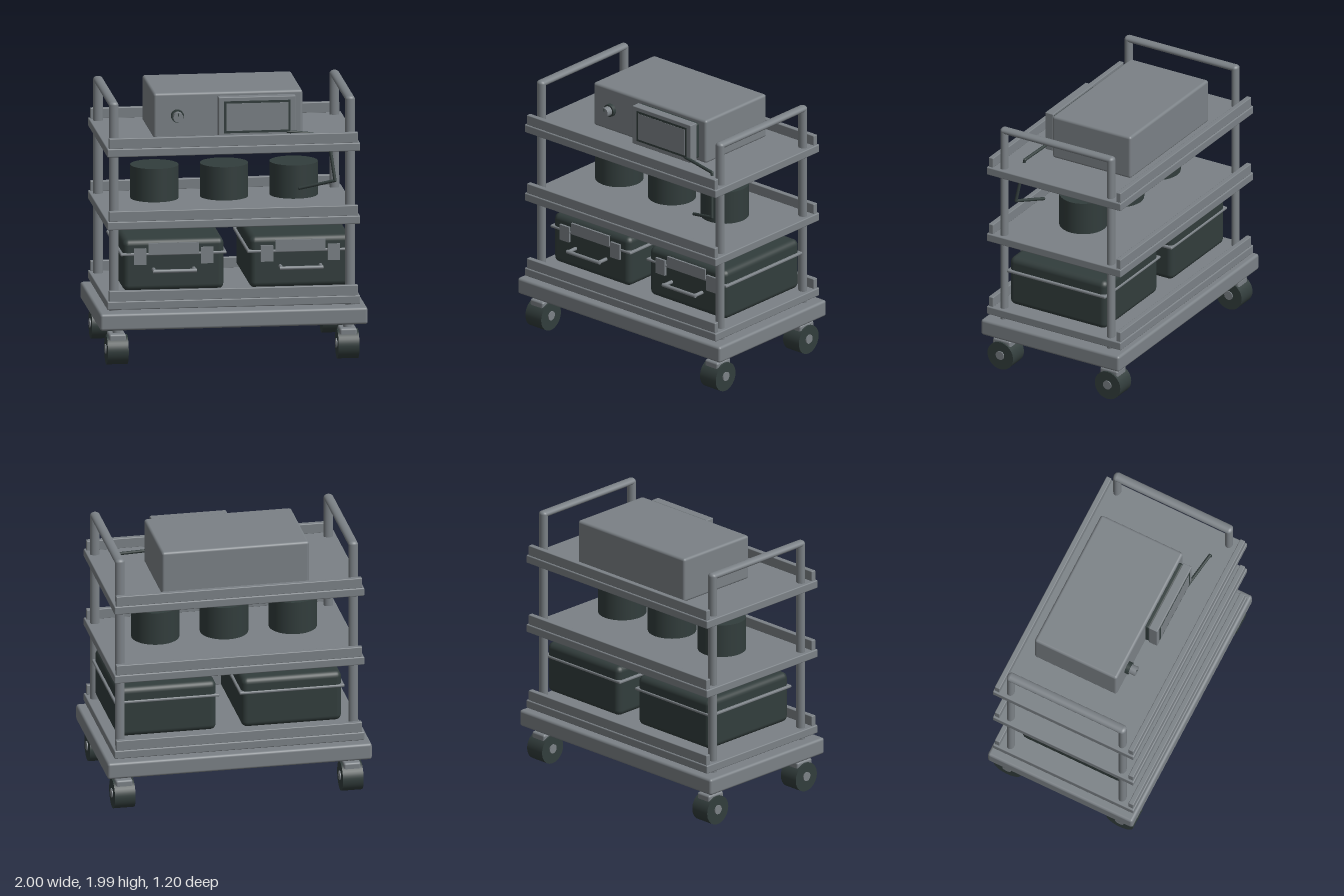
import * as THREE from 'three';
import { RoundedBoxGeometry } from 'three/addons/geometries/RoundedBoxGeometry.js';

const steel = new THREE.MeshStandardMaterial({ color: 0x7b8186 });
steel.name = 'grey steel';
const black = new THREE.MeshStandardMaterial({ color: 0x323d3c });
black.name = 'charcoal plastic';

export function createModel() {
  const cart = new THREE.Group();
  cart.name = 'equipmentCart';

  const add = (parent, name, geometry, material, x = 0, y = 0, z = 0) => {
    const mesh = new THREE.Mesh(geometry, material);
    mesh.name = name;
    mesh.position.set(x, y, z);
    parent.add(mesh);
    return mesh;
  };
  // Boxes are given by their limits: [x0, x1], [y0, y1], [z0, z1]
  const box = (parent, name, material, [x0, x1], [y0, y1], [z0, z1], r = 0) => {
    const s = [x1 - x0, y1 - y0, z1 - z0];
    const g = r ? new RoundedBoxGeometry(...s, 3, r) : new THREE.BoxGeometry(...s);
    return add(parent, name, g, material, (x0 + x1) / 2, (y0 + y1) / 2, (z0 + z1) / 2);
  };
  const cyl = (r, h, axis = 'y', sides = 32) => {
    const g = new THREE.CylinderGeometry(r, r, h, sides);
    if (axis === 'x') g.rotateZ(Math.PI / 2);
    if (axis === 'z') g.rotateX(Math.PI / 2);
    return g;
  };
  const group = (name, x = 0, y = 0, z = 0) => {
    const g = new THREE.Group();
    g.name = name;
    g.position.set(x, y, z);
    cart.add(g);
    return g;
  };

  // Base slab
  box(cart, 'base', steel, [-1, 1], [0.277, 0.405], [-0.6, 0.6], 0.02);

  // Three trays, each with a front and back rail
  for (const y of [0.432, 1.036, 1.588]) {
    const tray = group('tray', 0, y, 0);
    box(tray, 'shelf', steel, [-0.945, 0.945], [0, 0.063], [-0.583, 0.583], 0.008);
    for (const s of [-1, 1])
      box(tray, 'rail', steel, [-0.93, 0.93], [0.06, 0.14], [s * 0.554 - 0.02, s * 0.554 + 0.02], 0.006);
  }

  // Side frames: two posts joined by a handle bar
  for (const x of [-0.883, 0.883]) {
    const frame = group('sideFrame', x, 0, 0);
    for (const z of [-0.463, 0.463]) {
      const post = add(frame, 'post', cyl(1, 1.562, 'y', 24), steel, 0, 1.181, z);
      post.scale.set(0.036, 1, 0.029);
      const corner = add(frame, 'handleCorner', new THREE.SphereGeometry(1, 24, 16), steel, 0, 1.962, z);
      corner.scale.set(0.036, 0.025, 0.029);
    }
    const bar = add(frame, 'handleBar', cyl(1, 0.926, 'z', 24), steel, 0, 1.962, 0);
    bar.scale.set(0.036, 0.025, 1);
  }

  // Casters
  for (const x of [-0.862, 0.862])
    for (const z of [-0.466, 0.466]) {
      const caster = group('caster', x, 0, z);
      add(caster, 'tyre', cyl(0.111, 0.156, 'x', 40), black, 0, 0.111, 0);
      add(caster, 'hub', cyl(0.035, 0.172, 'x', 24), steel, 0, 0.116, 0);
      box(caster, 'fork', steel, [-0.064, 0.064], [0.17, 0.238], [-0.076, 0.076], 0.015);
      add(caster, 'stem', cyl(0.03, 0.06, 'y', 24), steel, 0, 0.255, 0);
    }

  // Cases on the bottom tray
  for (const x of [-0.43, 0.517]) {
    const carryCase = group('carryCase', x, 0, 0);
    box(carryCase, 'shell', black, [-0.378, 0.378], [0.533, 0.925], [-0.42, 0.42], 0.045);
    box(carryCase, 'seamBand', steel, [-0.397, 0.397], [0.804, 0.825], [-0.428, 0.428], 0.008);
    box(carryCase, 'lidPlate', steel, [-0.187, 0.187], [0.812, 0.898], [0.385, 0.432]);
    for (const s of [-1, 1]) {
      box(carryCase, 'latch', steel, [s * 0.25 - 0.046, s * 0.25 + 0.046], [0.738, 0.86], [0.4, 0.438]);
      add(carryCase, 'handleMount', cyl(0.014, 0.095, 'z', 16), steel, s * 0.15, 0.7, 0.462);
    }
    add(carryCase, 'handleGrip', cyl(0.014, 0.325, 'x', 16), steel, 0, 0.7, 0.505);
  }

  // Round canisters on the middle tray
  for (const x of [-0.52, 0, 0.52])
    add(cart, 'canister', cyl(0.18, 0.252), black, x, 1.28, 0);

  // Instrument on the top tray
  const unit = group('instrument');
  box(unit, 'housing', steel, [-0.558, 0.556], [1.65, 1.994], [-0.432, 0.25], 0.02);
  box(unit, 'panelGasket', black, [-0.082, 0.488], [1.68, 1.96], [0.24, 0.285], 0.015);
  box(unit, 'panel', steel, [-0.084, 0.492], [1.668, 1.972], [0.28, 0.35], 0.006);
  box(unit, 'screenBorder', black, [-0.043, 0.453], [1.7, 1.942], [0.347, 0.352]);
  box(unit, 'screen', steel, [-0.026, 0.436], [1.717, 1.925], [0.349, 0.354]);
  add(unit, 'knobRing', cyl(0.048, 0.032, 'z'), black, -0.381, 1.822, 0.264);
  add(unit, 'knob', cyl(0.037, 0.08, 'z'), steel, -0.381, 1.822, 0.29);
  box(unit, 'knobPointer', black, [-0.384, -0.378], [1.832, 1.855], [0.328, 0.332]);

  // Cable hanging from the panel
  const points = [[0.43, 1.7, 0.342], [0.73, 1.672, 0.38], [0.775, 1.338, 0.43], [0.52, 1.268, 0.345]]
    .map(p => new THREE.Vector3(...p));
  const cable = group('cable');
  points.forEach((p, i) => {
    add(cable, 'cableJoint', new THREE.SphereGeometry(0.012, 12, 8), black, p.x, p.y, p.z);
    if (i) add(cable, 'cableRun', new THREE.TubeGeometry(new THREE.LineCurve3(points[i - 1], p), 1, 0.012, 12), black);
  });

  return cart;
}
